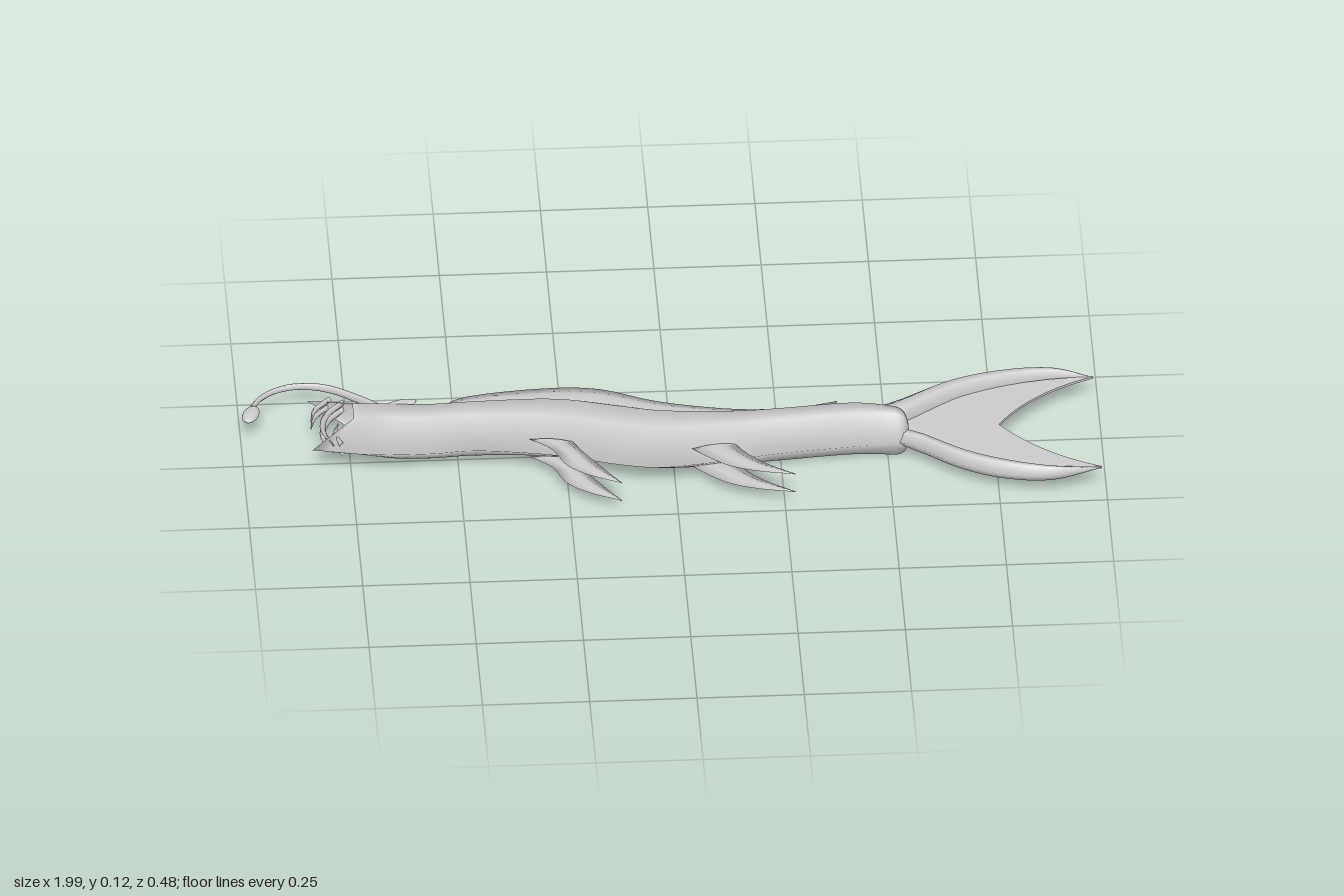
import * as THREE from 'three';

const MID = 0.0575; // height of the body's flat symmetry plane
const material = new THREE.MeshStandardMaterial({ color: 0xcccccc, side: THREE.DoubleSide });

// Six-sided section: u runs from edge A (-1) to edge B (+1), v is thickness
const SECTION = [[1, 0], [0.3, 1], [-0.3, 1], [-1, 0], [-0.3, -1], [0.3, -1]];

function mesh(name, geometry) {
  const m = new THREE.Mesh(geometry, material);
  m.name = name;
  return m;
}

// Smooth loft between two outlines; row = [ax, az, bx, bz, halfThickness, bow]
function loft(name, rows, y = MID, perRow = 4) {
  const curve = (i, j) => new THREE.CatmullRomCurve3(
    rows.map(r => new THREE.Vector3(r[i], r[4], r[j])), false, 'catmullrom', 0.5);
  const edgeA = curve(0, 1), edgeB = curve(2, 3);
  const hMax = Math.max(...rows.map(r => r[4]));
  const steps = (rows.length - 1) * perRow, n = SECTION.length;
  const pos = [], index = [];
  for (let i = 0; i <= steps; i++) {
    const t = i / steps, a = edgeA.getPoint(t), b = edgeB.getPoint(t);
    const h = THREE.MathUtils.clamp(a.y, 0, hMax);
    const k = t * (rows.length - 1), r0 = Math.floor(k), r1 = Math.min(r0 + 1, rows.length - 1);
    const bow = THREE.MathUtils.lerp(rows[r0][5] || 0, rows[r1][5] || 0, k - r0);
    for (const [u, v] of SECTION) {
      const s = (u + 1) / 2;
      pos.push(a.x + (b.x - a.x) * s - bow * u * u, y + v * h, a.z + (b.z - a.z) * s);
    }
  }
  // Keep faces outward whichever way the outline runs
  const a0 = edgeA.getPoint(0.45), b0 = edgeB.getPoint(0.45);
  const a1 = edgeA.getPoint(0.55), b1 = edgeB.getPoint(0.55);
  const dx = a1.x + b1.x - a0.x - b0.x, dz = a1.z + b1.z - a0.z - b0.z;
  const flip = dx * (b0.z - a0.z) - dz * (b0.x - a0.x) < 0;
  for (let i = 0; i < steps; i++) {
    for (let j = 0; j < n; j++) {
      const p = i * n + j, q = i * n + (j + 1) % n, r = p + n, s = q + n;
      if (flip) index.push(p, q, r, q, s, r);
      else index.push(p, r, q, q, r, s);
    }
  }
  const g = new THREE.BufferGeometry();
  g.setAttribute('position', new THREE.Float32BufferAttribute(pos, 3));
  g.setIndex(index);
  g.computeVertexNormals();
  return mesh(name, g);
}

// Tapered strand along a flat path; point = [x, z, radius]
function strand(name, points, y = MID) {
  const rows = points.map(([x, z, r], i) => {
    const p = points[Math.max(i - 1, 0)], q = points[Math.min(i + 1, points.length - 1)];
    const l = Math.hypot(q[0] - p[0], q[1] - p[1]);
    const nx = -(q[1] - p[1]) / l * r, nz = (q[0] - p[0]) / l * r;
    return [x - nx, z - nz, x + nx, z + nz, r];
  });
  return loft(name, rows, y);
}

export function createModel() {
  const model = new THREE.Group();
  model.name = 'eelFish';

  // Body, open at the mouth and closed at the tail: [x, back z, belly z, half thickness, bow]
  const body = [
    [-0.73, -0.175, 0.025, 0.038, 0.11], [-0.65, -0.14, 0.052, 0.0575, 0.05],
    [-0.56, -0.13, 0.056, 0.0575], [-0.45, -0.135, 0.05, 0.0575], [-0.27, -0.15, 0.08, 0.0575],
    [-0.13, -0.12, 0.125, 0.0575], [-0.02, -0.088, 0.142, 0.0575], [0.136, -0.06, 0.12, 0.0575],
    [0.25, -0.056, 0.1, 0.0575], [0.42, -0.067, 0.083, 0.0575], [0.52, -0.03, 0.075, 0.0575],
    [0.545, 0, 0.06, 0.035], [0.55, 0.03, 0.03, 0],
  ].map(([x, a, b, h, bow]) => [x, a, x, b, h, bow]);
  model.add(loft('body', body));

  // Dorsal fin, outer edge first, root sunk in the back
  model.add(loft('dorsalFin', [
    [-0.54, -0.125, -0.54, -0.1, 0.004], [-0.47, -0.172, -0.46, -0.1, 0.006],
    [-0.29, -0.195, -0.28, -0.11, 0.006], [-0.16, -0.185, -0.16, -0.09, 0.006],
    [-0.02, -0.125, -0.02, -0.05, 0.006], [0.16, -0.085, 0.16, -0.03, 0.006],
    [0.3, -0.086, 0.29, -0.03, 0.005], [0.39, -0.105, 0.37, -0.04, 0.003],
  ]));

  // Tail: two thick curved lobes
  model.add(loft('upperTailLobe', [
    [0.45, -0.06, 0.5, 0.03, 0.012], [0.54, -0.105, 0.56, -0.015, 0.023],
    [0.64, -0.163, 0.68, -0.1, 0.023], [0.76, -0.195, 0.79, -0.143, 0.022],
    [0.89, -0.2, 0.9, -0.167, 0.017], [0.99, -0.167, 0.99, -0.165, 0.001],
  ]));
  model.add(loft('lowerTailLobe', [
    [0.49, 0.06, 0.52, 0.0, 0.012], [0.56, 0.09, 0.59, 0.06, 0.023],
    [0.65, 0.163, 0.69, 0.132, 0.023], [0.75, 0.213, 0.78, 0.172, 0.022],
    [0.87, 0.23, 0.88, 0.2, 0.017], [0.99, 0.2, 0.99, 0.198, 0.001],
  ]));

  // Thin web between the lobes with a notched rear edge
  const web = new THREE.Shape();
  web.moveTo(0.52, 0);
  web.quadraticCurveTo(0.72, -0.17, 0.99, -0.166);
  web.quadraticCurveTo(0.84, -0.11, 0.76, 0.015);
  web.quadraticCurveTo(0.85, 0.14, 0.99, 0.199);
  web.quadraticCurveTo(0.76, 0.2, 0.52, 0.05);
  const webGeometry = new THREE.ExtrudeGeometry(web, { depth: 0.006, bevelEnabled: false, curveSegments: 10 });
  webGeometry.rotateX(Math.PI / 2).translate(0, MID + 0.003, 0);
  model.add(mesh('tailWeb', webGeometry));

  // Paired fins and eyes, mirrored on both flat sides
  for (const side of [1, -1]) {
    const label = side > 0 ? 'upperSide' : 'lowerSide';
    const finY = MID + side * 0.025;
    model.add(loft(label + 'FrontFin', [
      [-0.235, 0.06, -0.335, 0.045, 0.005], [-0.215, 0.1, -0.285, 0.09, 0.005],
      [-0.185, 0.15, -0.255, 0.155, 0.004], [-0.16, 0.19, -0.205, 0.198, 0.003],
      [-0.13, 0.234, -0.132, 0.235, 0.001],
    ], finY));
    model.add(loft(label + 'RearFin', [
      [0.14, 0.09, 0.04, 0.105, 0.005], [0.165, 0.128, 0.08, 0.145, 0.005],
      [0.195, 0.162, 0.125, 0.18, 0.004], [0.23, 0.19, 0.19, 0.205, 0.003],
      [0.275, 0.221, 0.273, 0.222, 0.001],
    ], finY));
    const eye = mesh(label + 'Eye', new THREE.SphereGeometry(1, 16, 8));
    eye.scale.set(0.04, 0.004, 0.014);
    eye.position.set(-0.63, MID + side * 0.053, -0.075);
    eye.rotation.set(side * 0.15, 0.25, 0);
    model.add(eye);

    // Long curved teeth, set slightly apart
    const toothY = MID + side * 0.01;
    model.add(strand(label + 'LongTooth', [
      [-0.76, -0.15, 0.007], [-0.8, -0.1, 0.008], [-0.812, -0.04, 0.006], [-0.79, 0.025, 0.001],
    ], toothY));
    model.add(strand(label + 'ShortTooth', [
      [-0.79, -0.165, 0.007], [-0.825, -0.125, 0.006], [-0.838, -0.075, 0.001],
    ], toothY));
    model.add(strand(label + 'LowerTooth', [
      [-0.77, 0.025, 0.007], [-0.785, -0.02, 0.006], [-0.775, -0.065, 0.001],
    ], toothY));
  }

  // Lure stalk arching forward from the brow, with its bulb
  model.add(strand('lureStalk', [
    [-0.65, -0.11, 0.012], [-0.72, -0.175, 0.01], [-0.79, -0.222, 0.009], [-0.855, -0.236, 0.008],
    [-0.91, -0.222, 0.007], [-0.95, -0.19, 0.007], [-0.97, -0.155, 0.007],
  ]));
  const bulb = mesh('lureBulb', new THREE.SphereGeometry(1, 14, 10));
  bulb.scale.set(0.019, 0.01, 0.034);
  bulb.position.set(-0.975, MID, -0.128);
  bulb.rotation.y = -0.35;
  model.add(bulb);

  return model;
}
